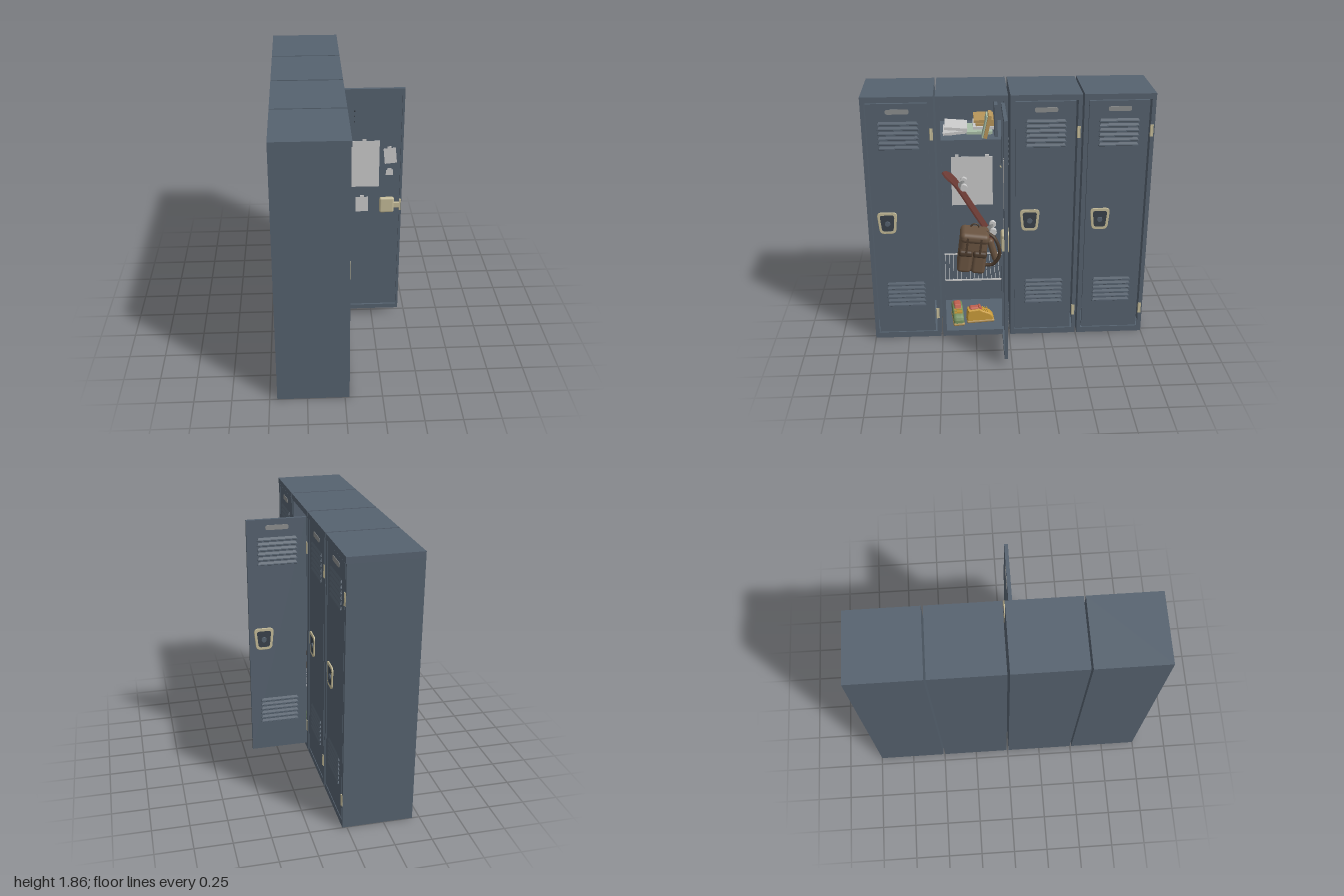
import * as THREE from 'three';
import { RoundedBoxGeometry } from 'three/addons/geometries/RoundedBoxGeometry.js';
import { ConvexGeometry } from 'three/addons/geometries/ConvexGeometry.js';

const mat = (color) => new THREE.MeshStandardMaterial({ color });
const steel = mat(0x56626f), brass = mat(0xc4bb98), paper = mat(0xcccccc), slotGrey = mat(0x8d8f8f),
  dark = mat(0x3a424b), brown = mat(0x6a5441), brownDark = mat(0x4c3b2d), tan = mat(0xb8965a),
  green = mat(0x6f8a5a), yellow = mat(0xc79a3a), red = mat(0xc0604f), wood = mat(0x6b3a34), sage = mat(0xa9bfa8);

const HALF = 0.2445;                        // half width of a locker
const CENTRES = [0.755, 0.2525, -0.2525, -0.755];

function add(parent, name, geo, material, x = 0, y = 0, z = 0) {
  const m = new THREE.Mesh(geo, material);
  m.name = name;
  m.position.set(x, y, z);
  parent.add(m);
  return m;
}
// box given by its min and max corners
const span = (parent, name, material, [x0, x1], [y0, y1], [z0, z1]) =>
  add(parent, name, new THREE.BoxGeometry(x1 - x0, y1 - y0, z1 - z0), material, (x0 + x1) / 2, (y0 + y1) / 2, (z0 + z1) / 2);
const rbox = (parent, name, material, w, h, d, r, x, y, z) =>
  add(parent, name, new RoundedBoxGeometry(w, h, d, 3, r), material, x, y, z);

function group(parent, name, x = 0, y = 0, z = 0) {
  const g = new THREE.Group();
  g.name = name;
  g.position.set(x, y, z);
  parent.add(g);
  return g;
}

// trapezoid outline with rounded corners, centred on the origin
function trapezoid(topW, bottomW, h, r, Type = THREE.Shape) {
  const p = [[-topW, h], [topW, h], [bottomW, -h], [-bottomW, -h]].map(([a, b]) => new THREE.Vector2(a / 2, b / 2));
  const s = new Type();
  p.forEach((c, i) => {
    const toward = (q) => q.clone().sub(c).setLength(r).add(c);
    const a = toward(p[(i + 3) % 4]), b = toward(p[(i + 1) % 4]);
    if (i) s.lineTo(a.x, a.y); else s.moveTo(a.x, a.y);
    s.quadraticCurveTo(c.x, c.y, b.x, b.y);
  });
  s.closePath();
  return s;
}
// extrude an outline so that it faces +x
const plate = (shape, depth, bevel = 0) => new THREE.ExtrudeGeometry(shape, {
  depth, bevelEnabled: bevel > 0, bevelSize: bevel, bevelThickness: bevel, bevelSegments: 2, curveSegments: 6,
}).rotateY(Math.PI / 2);

function louvreGeometry() {
  const pts = [];
  for (const s of [-1, 1]) {
    pts.push(new THREE.Vector3(0, -0.011, s * 0.142), new THREE.Vector3(0, 0.011, s * 0.128),
      new THREE.Vector3(0.009, -0.011, s * 0.138), new THREE.Vector3(0.008, -0.004, s * 0.136));
  }
  return new ConvexGeometry(pts);
}

// door hinged on the y axis, closed along +z, outer face towards +x
function buildDoor(parent, z) {
  const door = group(parent, 'door', 0.022, 0, z - 0.215);
  const outer = 0.006, mid = 0.215, z0 = 0.012, z1 = 0.425, y0 = 0.05, y1 = 1.812;
  span(door, 'doorPanel', steel, [-0.004, outer], [y0, y1], [z0, z1]);
  for (const [a, b] of [[z0, z0 + 0.016], [z1 - 0.016, z1]]) span(door, 'doorSideFlange', steel, [-0.018, -0.004], [y0, y1], [a, b]);
  for (const [a, b] of [[y0, y0 + 0.035], [y1 - 0.03, y1]]) span(door, 'doorEndFlange', steel, [-0.018, -0.004], [a, b], [z0 + 0.016, z1 - 0.016]);
  const louvre = louvreGeometry();
  for (const base of [0.275, 1.495]) {
    for (let i = 0; i < 6; i++) {
      add(door, 'ventLouvre', louvre, steel, outer, base + 0.008 + i * 0.0345, mid);
      span(door, 'ventGap', dark, [outer, outer + 0.001], [base - 0.008 + i * 0.0345, base - 0.003 + i * 0.0345], [mid - 0.136, mid + 0.136]);
    }
  }
  add(door, 'labelPlate', plate(trapezoid(0.16, 0.16, 0.034, 0.016), 0.003), slotGrey, outer, 1.755, mid);
  // latch surround with a recessed cup and dial
  const ring = trapezoid(0.138, 0.108, 0.158, 0.03);
  ring.holes.push(trapezoid(0.104, 0.08, 0.122, 0.02, THREE.Path));
  const hz = mid + 0.107;
  add(door, 'handleRing', plate(ring, 0.006, 0.003), brass, outer, 0.942, hz);
  add(door, 'handleCup', plate(trapezoid(0.108, 0.084, 0.126, 0.02), 0.002), dark, outer, 0.942, hz);
  add(door, 'lockDial', new THREE.CylinderGeometry(0.018, 0.02, 0.008, 20).rotateZ(-Math.PI / 2), steel, outer + 0.005, 0.935, hz);
  return door;
}

// shell with wall panels, a front frame, cap and hinges
function buildLocker(parent, z) {
  const g = group(parent, 'locker', 0, 0, z);
  const depth = [-0.45, 0.03], wide = [-HALF, HALF], inner = [-HALF + 0.012, HALF - 0.012];
  for (const s of [-1, 1]) {
    span(g, 'sideWall', steel, depth, [0, 1.82], s < 0 ? [-HALF, -HALF + 0.012] : [HALF - 0.012, HALF]);
    span(g, 'frameJamb', steel, [0.008, 0.03], [0.045, 1.82], s < 0 ? [-HALF + 0.012, -0.217] : [0.217, HALF - 0.012]);
  }
  span(g, 'backWall', steel, [-0.45, -0.438], [0, 1.82], inner);
  span(g, 'floor', steel, [-0.438, 0.03], [0, 0.045], inner);
  span(g, 'topCap', steel, [-0.45, 0.034], [1.82, 1.86], wide);
  for (const y of [0.2, 1.595]) {
    span(g, 'hingePlate', brass, [0.028, 0.033], [y - 0.042, y + 0.042], [-0.236, -0.214]);
    add(g, 'hingeBarrel', new THREE.CylinderGeometry(0.006, 0.006, 0.084, 12), brass, 0.031, y, -0.218);
  }
  return g;
}

// papers and latch on the inner face of the open door, where -x is inward
function dressDoor(door) {
  const sheet = (x, y, w, h, tilt) => {
    const s = group(door, 'doorNote', -0.0055, y, x - 0.022);
    s.rotation.x = tilt;
    span(s, 'noteSheet', paper, [-0.001, 0.001], [-h / 2, h / 2], [-w / 2, w / 2]);
    span(s, 'noteTape', paper, [-0.0015, 0.0015], [h / 2 - 0.008, h / 2 + 0.014], [-0.014, 0.014]);
  };
  sheet(0.18, 1.255, 0.21, 0.35, 0);
  sheet(0.36, 1.315, 0.085, 0.115, -0.1);
  sheet(0.357, 1.187, 0.05, 0.04, 0);
  sheet(0.167, 0.94, 0.09, 0.115, 0);
  rbox(door, 'latchBox', brass, 0.032, 0.12, 0.105, 0.015, -0.02, 0.94, 0.32);
  rbox(door, 'latchArm', brass, 0.016, 0.045, 0.06, 0.006, -0.024, 0.94, 0.39);
  span(door, 'latchStrike', brass, [-0.032, -0.018], [0.9, 0.985], [0.408, 0.42]);
  for (let i = 0; i < 3; i++) span(door, 'ventHole', dark, [-0.006, -0.003], [1.57 + i * 0.037, 1.58 + i * 0.037], [0.085, 0.092]);
}

function buildBackpack(parent) {
  const g = group(parent, 'backpack', -0.14, 0.47, 0.285);
  g.rotation.x = -0.13;
  rbox(g, 'packBody', brown, 0.17, 0.3, 0.21, 0.05, -0.01, 0.155, 0);
  rbox(g, 'packLid', brown, 0.2, 0.08, 0.215, 0.035, 0, 0.29, -0.002);
  for (const s of [-1, 1]) {
    rbox(g, 'frontPocket', brown, 0.06, 0.17, 0.1, 0.025, 0.07, 0.1, s * 0.053);
    rbox(g, 'pocketFlap', brownDark, 0.064, 0.05, 0.102, 0.02, 0.073, 0.17, s * 0.053);
    span(g, 'lidStrap', brownDark, [0.098, 0.104], [0.16, 0.3], [s * 0.05 - 0.008, s * 0.05 + 0.008]);
  }
  add(g, 'carryLoop', new THREE.TorusGeometry(0.03, 0.006, 8, 16, Math.PI).rotateY(Math.PI / 2), brownDark, -0.05, 0.325, 0);
  const strap = new THREE.CatmullRomCurve3([[0, 0.32, -0.08], [0.03, 0.29, -0.15], [0.04, 0.17, -0.2], [0.02, 0.07, -0.16], [0, 0.05, -0.09]]
    .map((p) => new THREE.Vector3(...p)));
  add(g, 'shoulderStrap', new THREE.TubeGeometry(strap, 28, 0.013, 8), brownDark);
  const pouch = rbox(g, 'sidePouch', brown, 0.05, 0.19, 0.05, 0.022, 0, 0.18, -0.15);
  pouch.rotation.x = 0.4;
}

function buildSkateboard(parent) {
  const g = group(parent, 'skateboard', -0.33, 0.88, 0.25);
  g.rotation.x = 0.533;
  const L = 0.37, geo = new THREE.BoxGeometry(0.18, 2 * L, 0.012, 6, 40, 1), p = geo.attributes.position;
  // rounded ends and upturned nose and tail
  for (let i = 0; i < p.count; i++) {
    const e = Math.max(0, (Math.abs(p.getY(i)) - (L - 0.09)) / 0.09), k = Math.max(0, Math.abs(p.getY(i)) - 0.22);
    p.setX(i, p.getX(i) * Math.sqrt(Math.max(0.01, 1 - e * e)));
    p.setZ(i, p.getZ(i) + k * k * 1.8);
  }
  geo.computeVertexNormals();
  add(g, 'deck', geo, wood);
  for (const y of [-0.21, 0.21]) {
    span(g, 'truck', slotGrey, [-0.03, 0.03], [y - 0.02, y + 0.02], [-0.045, -0.006]);
    add(g, 'axle', new THREE.CylinderGeometry(0.006, 0.006, 0.16, 10).rotateZ(Math.PI / 2), slotGrey, 0, y, -0.045);
    for (const x of [-0.07, 0.07]) add(g, 'wheel', new THREE.CylinderGeometry(0.026, 0.026, 0.032, 20).rotateZ(Math.PI / 2), paper, x, y, -0.045);
  }
}

// shoe with its toe towards local +x
function buildShoe(parent, x, z, turn, upper) {
  const g = group(parent, 'shoe', x, 0.046, z);
  g.rotation.y = turn;
  const side = new THREE.Shape();
  side.moveTo(-0.09, 0.02);
  side.bezierCurveTo(-0.1, 0.06, -0.085, 0.08, -0.085, 0.1);
  side.lineTo(-0.01, 0.105);
  side.bezierCurveTo(0.02, 0.075, 0.09, 0.08, 0.09, 0.02);
  const body = new THREE.ExtrudeGeometry(side, { depth: 0.034, bevelSize: 0.012, bevelThickness: 0.022, bevelSegments: 4, curveSegments: 8 });
  add(g, 'shoeUpper', body.translate(0, 0, -0.017), upper);
  rbox(g, 'shoeSole', tan, 0.21, 0.024, 0.086, 0.011, 0, 0.012, 0);
  rbox(g, 'shoeCollar', red, 0.075, 0.035, 0.055, 0.015, -0.045, 0.11, 0);
  const tongue = rbox(g, 'shoeTongue', red, 0.02, 0.06, 0.05, 0.009, 0.002, 0.105, 0);
  tongue.rotation.z = 0.4;
  for (let i = 0; i < 3; i++) span(g, 'shoeLace', yellow, [0.018 + i * 0.016, 0.025 + i * 0.016], [0.07, 0.104 - i * 0.004], [-0.03, 0.03]);
}

function buildContents(parent) {
  const g = group(parent, 'lockerContents');
  const zs = [0.02, 0.485];
  span(g, 'upperShelf', steel, [-0.438, 0.0], [1.525, 1.54], zs);
  span(g, 'shelfLip', steel, [-0.012, 0.0], [1.503, 1.54], zs);
  // wire rack
  for (const x of [-0.43, 0]) span(g, 'rackRail', paper, [x - 0.004, x + 0.004], [0.452, 0.462], zs);
  for (let i = 0; i <= 14; i++) span(g, 'rackWire', paper, [-0.43, 0], [0.455, 0.46], [0.036 + i * 0.031, 0.039 + i * 0.031]);
  // papers on the back wall
  span(g, 'poster', paper, [-0.438, -0.435], [0.87, 1.26], [0.1, 0.41]);
  for (const z of [0.14, 0.365]) span(g, 'posterTape', paper, [-0.438, -0.434], [1.25, 1.277], [z - 0.014, z + 0.014]);
  span(g, 'lowerNote', paper, [-0.438, -0.435], [0.425, 0.58], [0.155, 0.235]);
  span(g, 'upperNote', paper, [-0.438, -0.435], [1.41, 1.5], [0.155, 0.31]).rotation.x = -0.06;
  add(g, 'coatHook', new THREE.TorusGeometry(0.018, 0.005, 8, 16, Math.PI).rotateX(Math.PI).rotateY(Math.PI / 2), brass, -0.11, 1.31, 0.04);
  // books and loose papers
  const pile = [[paper, 0.37, 1.555, 0.17, 0.1], [paper, 0.365, 1.585, 0.16, -0.08], [sage, 0.2, 1.555, 0.18, 0], [paper, 0.17, 1.59, 0.15, 0],
    [tan, 0.16, 1.615, 0.13, 0], [tan, 0.17, 1.638, 0.14, 0]];
  for (const [m, z, y, w, r] of pile) add(g, 'flatBook', new THREE.BoxGeometry(0.2, 0.02, w), m, -0.2, y, z).rotation.x = r;
  add(g, 'leaningBook', new THREE.BoxGeometry(0.14, 0.165, 0.024), tan, -0.08, 1.624, 0.145).rotation.x = -0.22;
  add(g, 'leaningCover', new THREE.BoxGeometry(0.13, 0.155, 0.01), sage, -0.085, 1.62, 0.165).rotation.x = -0.22;
  span(g, 'uprightBook', steel, [-0.22, -0.05], [1.54, 1.77], [0.075, 0.098]);
  buildBackpack(g);
  buildSkateboard(g);
  buildShoe(g, -0.13, 0.385, 0.1, green);
  buildShoe(g, -0.11, 0.215, Math.PI / 2 + 0.1, yellow);
}

export function createModel() {
  const model = new THREE.Group();
  model.name = 'lockerRow';
  CENTRES.forEach((z, i) => {
    buildLocker(model, z);
    const door = buildDoor(model, z);
    if (i === 1) {
      door.rotation.y = Math.PI / 2;
      dressDoor(door);
    }
  });
  buildContents(model);
  return model;
}
